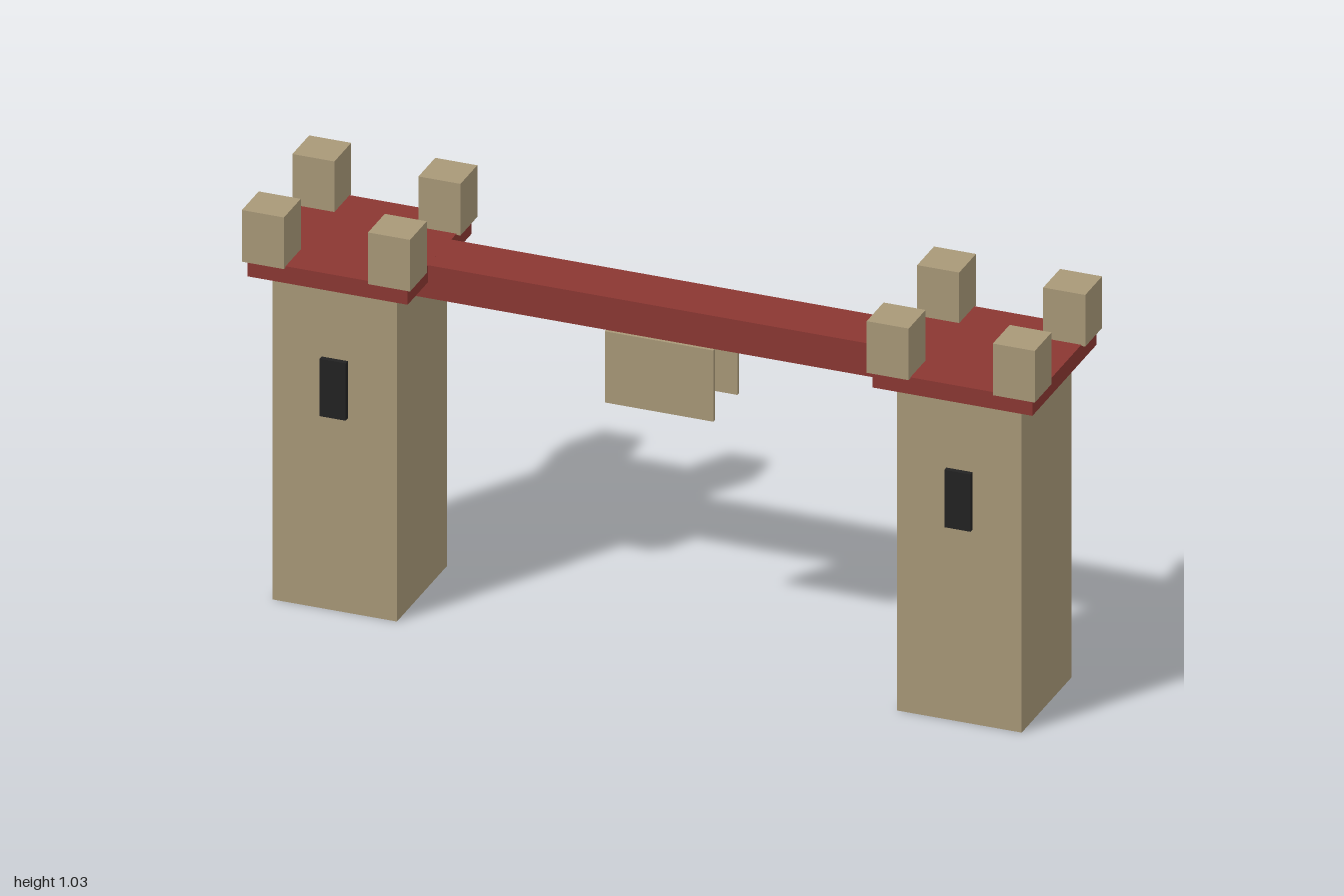
import * as THREE from 'three';

export function createModel() {
  const model = new THREE.Group();
  model.name = 'gateway';
  const paint = (name, color) => {
    const m = new THREE.MeshStandardMaterial({ color });
    m.name = name;
    return m;
  };
  const stone = paint('sandstone', 0xa89878);
  const red = paint('brick red', 0x8b3732);
  const black = paint('window black', 0x222222);

  // Box from its size, bottom height and centre
  const box = (parent, name, mat, [w, h, d], x, bottom, z) => {
    const mesh = new THREE.Mesh(new THREE.BoxGeometry(w, h, d), mat);
    mesh.name = name;
    mesh.position.set(x, bottom + h / 2, z);
    parent.add(mesh);
  };

  // Two towers, each with a platform, four corner blocks and a front window
  for (const side of [-1, 1]) {
    const tower = new THREE.Group();
    tower.name = side > 0 ? 'leftTower' : 'rightTower';
    tower.position.x = side * 0.788;
    box(tower, 'shaft', stone, [0.314, 0.858, 0.314], 0, 0, 0);
    box(tower, 'platform', red, [0.404, 0.044, 0.404], 0, 0.857, 0);
    box(tower, 'window', black, [0.066, 0.15, 0.022], 0, 0.508, 0.159);
    for (const sx of [-1, 1])
      for (const sz of [-1, 1])
        box(tower, 'battlement', stone, [0.106, 0.135, 0.106], sx * 0.159, 0.898, sz * 0.159);
    model.add(tower);
  }

  // Walkway between the towers
  box(model, 'walkway', red, [1.28, 0.086, 0.146], 0, 0.815, 0);

  // Thin panels hanging below both edges of the walkway
  for (const side of [-1, 1])
    box(model, 'hangingPanel', stone, [0.274, 0.186, 0.011], 0, 0.629, side * 0.076);

  return model;
}
